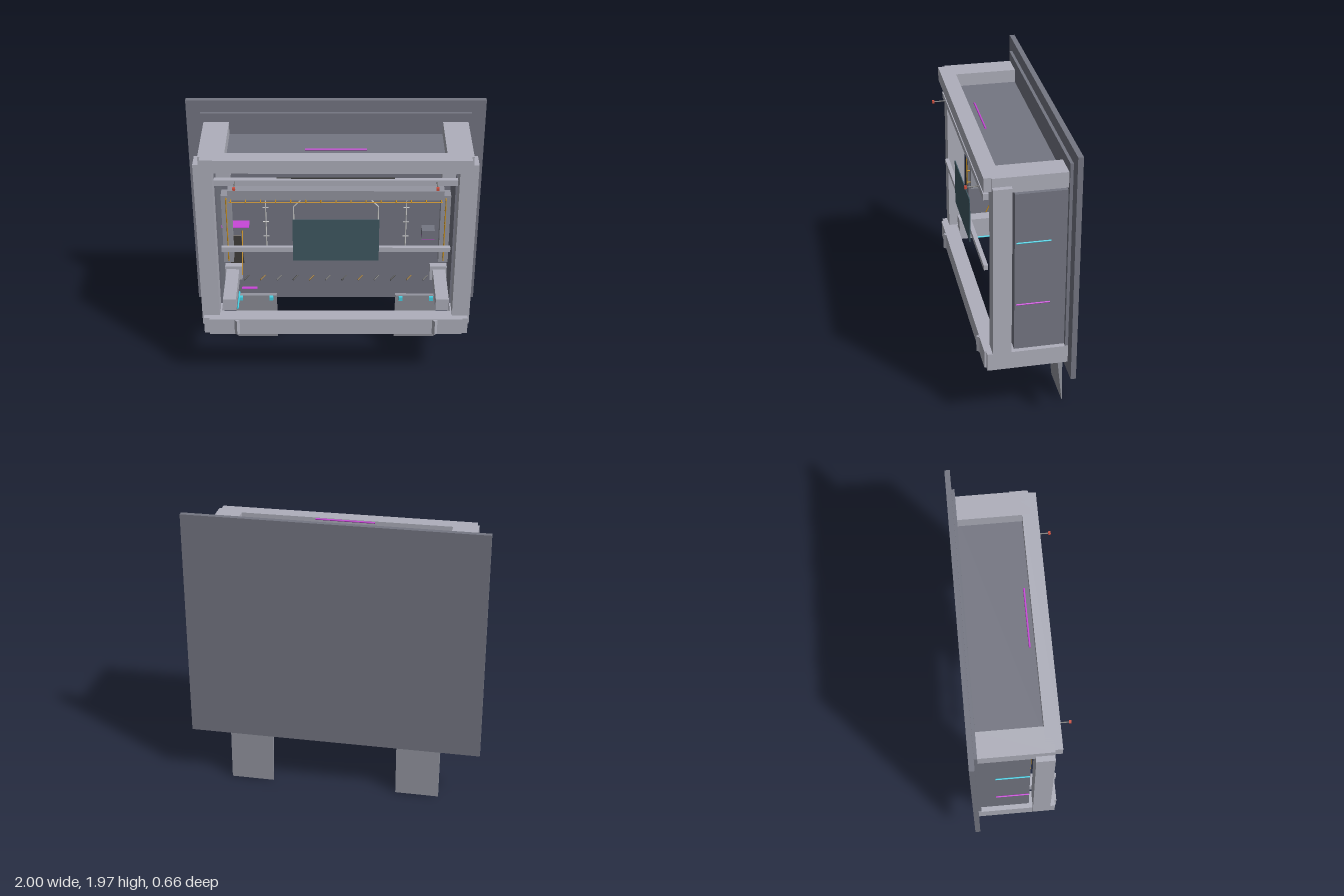
import * as THREE from 'three';

export function createModel() {
  const root = new THREE.Group();
  const mats = {};
  const mat = (color) => (mats[color] ??= new THREE.MeshStandardMaterial({ color }));
  const FRAME = 0xaeafbb, MID = 0x93959f, DARK = 0x747682;
  const CYAN = 0x45d0e4, PURPLE = 0xc848d8, ORANGE = 0xc89020;

  function add(name, geometry, color) {
    const mesh = new THREE.Mesh(geometry, mat(color));
    mesh.name = name;
    root.add(mesh);
    return mesh;
  }
  // box given by its extents on each axis
  function box(name, x0, x1, y0, y1, z0, z1, color = FRAME) {
    const m = add(name, new THREE.BoxGeometry(x1 - x0, y1 - y0, z1 - z0), color);
    m.position.set((x0 + x1) / 2, (y0 + y1) / 2, (z0 + z1) / 2);
    return m;
  }
  // the same box on both sides of x = 0
  function pair(name, x0, x1, ...rest) {
    box(name + 'Left', x0, x1, ...rest);
    box(name + 'Right', -x1, -x0, ...rest);
  }
  // thin rod between two points
  function rod(name, a, b, r, color) {
    const p = new THREE.Vector3(...a), q = new THREE.Vector3(...b);
    const d = q.clone().sub(p);
    const m = add(name, new THREE.CylinderGeometry(r, r, d.length(), 16), color);
    m.position.copy(p).add(q).multiplyScalar(0.5);
    m.quaternion.setFromUnitVectors(new THREE.Vector3(0, 1, 0), d.normalize());
  }

  // back panel with raised inner panel
  box('backPanel', -1, 1, 0.365, 1.965, -0.33, -0.295, DARK);
  box('innerPanel', -0.905, 0.905, 0.49, 1.88, -0.295, -0.275, DARK);

  // cabinet shell, open below and in front
  pair('sideWall', 0.79, 0.875, 0.565, 1.69, -0.28, 0.055, DARK);
  box('topPlate', -0.8, 0.8, 1.68, 1.725, -0.28, 0.16, DARK);

  // outer timber frame
  box('topBeam', -0.87, 0.87, 1.72, 1.815, 0.145, 0.248);
  pair('topArm', 0.715, 0.885, 1.71, 1.815, -0.28, 0.2);
  pair('post', 0.8, 0.92, 0.495, 1.755, 0.08, 0.2);
  box('bottomBeam', -0.87, 0.87, 0.44, 0.565, 0.145, 0.248);
  pair('bottomArm', 0.79, 0.908, 0.44, 0.565, -0.295, 0.235);
  for (const s of [-1, 1]) {
    const wedge = box('beamWedge', s * 0.68 - 0.02, s * 0.68 + 0.02, 0.445, 0.56, 0.218, 0.258);
    wedge.rotation.y = Math.PI / 4;
  }

  // corner rails with their back plates
  for (const [lo, hi, plo, phi] of [[0.565, 0.655, 0.565, 0.68], [1.595, 1.68, 1.575, 1.68]]) {
    pair('cornerRail', 0.69, 0.78, lo, hi, -0.28, 0.14);
    pair('cornerPlate', 0.67, 0.79, plo, phi, -0.28, -0.23);
  }

  // hanging blocks with cyan feet
  pair('wallBlock', 0.57, 0.67, 1.49, 1.565, -0.28, -0.2, DARK);
  pair('blockFoot', 0.595, 0.655, 1.482, 1.49, -0.26, -0.22, CYAN);

  // inner light frame, its strips and pegs
  box('lightBarTop', -0.72, 0.72, 1.4, 1.472, -0.03, 0.05, MID);
  pair('lightBarSide', 0.7, 0.765, 0.907, 1.435, -0.03, 0.05, MID);
  rod('lightStripTop', [-0.71, 1.4, 0.075], [0.71, 1.4, 0.075], 0.004, ORANGE);
  for (const s of [-1, 1]) {
    rod('lightStripSide', [s * 0.73, 0.935, 0.075], [s * 0.73, 1.42, 0.075], 0.004, ORANGE);
    for (let i = 0; i < 6; i++) {
      const y = 0.95 + i * 0.0935;
      rod('stripPeg', [s * 0.73, y, 0.045], [s * 0.73, y, 0.078], 0.004, ORANGE);
    }
  }
  for (let i = 0; i < 15; i++) {
    const x = -0.7 + i * 0.1;
    rod('stripPeg', [x, 1.402, 0.045], [x, 1.402, 0.078], 0.004, ORANGE);
  }

  // screen on its crossbar
  box('crossbar', -0.76, 0.76, 1.108, 1.142, 0.2, 0.228);
  box('screen', -0.285, 0.285, 1.042, 1.362, 0.228, 0.234, 0x405862);

  // upper rail with two forward pins
  box('upperRail', -0.785, 0.785, 1.622, 1.663, 0.2, 0.235);
  rod('railRod', [-0.38, 1.665, 0.21], [0.38, 1.665, 0.21], 0.004, 0x333333);
  for (const s of [-1, 1]) {
    rod('pin', [s * 0.65, 1.65, 0.23], [s * 0.65, 1.65, 0.32], 0.004, 0x777777);
    box('pinTip', s * 0.65 - 0.009, s * 0.65 + 0.009, 1.641, 1.659, 0.312, 0.328, 0xd05040);
  }

  // octagonal wire loop on the panel
  const loop = add('wireLoop', new THREE.TorusGeometry(0.32, 0.005, 16, 8), 0xffffff);
  loop.rotation.z = Math.PI / 8;
  loop.position.set(0, 1.035, -0.268);

  // measuring rods with ticks
  for (const s of [-1, 1]) {
    const x = s * 0.49;
    rod('gaugeRod', [x, 0.79, -0.27], [x, 1.27, -0.27], 0.004, 0xffffff);
    for (let i = 0; i < 5; i++) {
      const y = 0.795 + i * 0.118;
      rod('gaugeTick', [x - 0.022, y, -0.27], [x + 0.022, y, -0.27], 0.004, 0xffffff);
    }
  }

  // slanted pegs along the base
  for (let i = 0; i < 12; i++) {
    const x = -0.64 + i * 0.1165;
    rod('basePeg', [x - 0.018, 0.56, -0.235], [x + 0.018, 0.573, -0.28], 0.005, [0x444444, 0x8a6a30, 0x666666][i % 3]);
  }

  // small shelf, slanted plate and strut in one corner
  box('cornerShelf', -0.79, -0.6, 1.067, 1.073, -0.22, -0.13, PURPLE);
  const plate = box('slantedPlate', -0.75, -0.655, 0.66, 1.04, -0.2, -0.19, 0x66615e);
  plate.rotation.x = Math.atan2(0.17, 0.34);
  rod('strut', [-0.652, 1.01, -0.19], [-0.652, 0.73, -0.05], 0.004, ORANGE);
  box('sideBracket', 0.6, 0.69, 0.935, 1.0, -0.28, -0.2, DARK);
  box('bracketPad', 0.6, 0.69, 0.928, 0.935, -0.28, -0.2, PURPLE);

  // coloured marker rods around the cabinet
  for (const s of [-1, 1]) {
    rod('sideMarkerUpper', [s * 0.9, 1.362, -0.17], [s * 0.9, 1.362, 0.05], 0.005, CYAN);
    rod('sideMarkerLower', [s * 0.9, 0.915, -0.17], [s * 0.9, 0.915, 0.05], 0.005, PURPLE);
  }
  rod('topMarker', [-0.2, 1.82, 0.108], [0.2, 1.82, 0.108], 0.006, PURPLE);
  rod('bottomMarker', [-0.24, 0.438, 0.16], [0.24, 0.438, 0.16], 0.006, PURPLE);
  rod('floorMarker', [-0.69, 0.5, -0.17], [-0.69, 0.5, 0.03], 0.006, CYAN);
  box('panelMarker', -0.68, -0.57, 0.458, 0.462, -0.292, -0.265, PURPLE);

  // tapered legs, each with two bolts
  const profile = new THREE.Shape([[0.265, 0.4], [0.305, 0.4], [0.312, 0], [0.308, 0]]
    .map(([z, y]) => new THREE.Vector2(z, y)));
  for (const s of [-1, 1]) {
    const leg = add('leg', new THREE.ExtrudeGeometry(profile, { depth: 0.298, bevelEnabled: false }), MID);
    leg.rotation.y = Math.PI / 2; // profile runs towards the back
    leg.position.x = s * 0.58 - 0.149;
    for (const d of [-0.11, 0.11]) {
      const x = s * 0.58 + d;
      box('legBolt', x - 0.014, x + 0.014, 0.37, 0.398, -0.275, -0.243, CYAN);
    }
  }
  return root;
}
